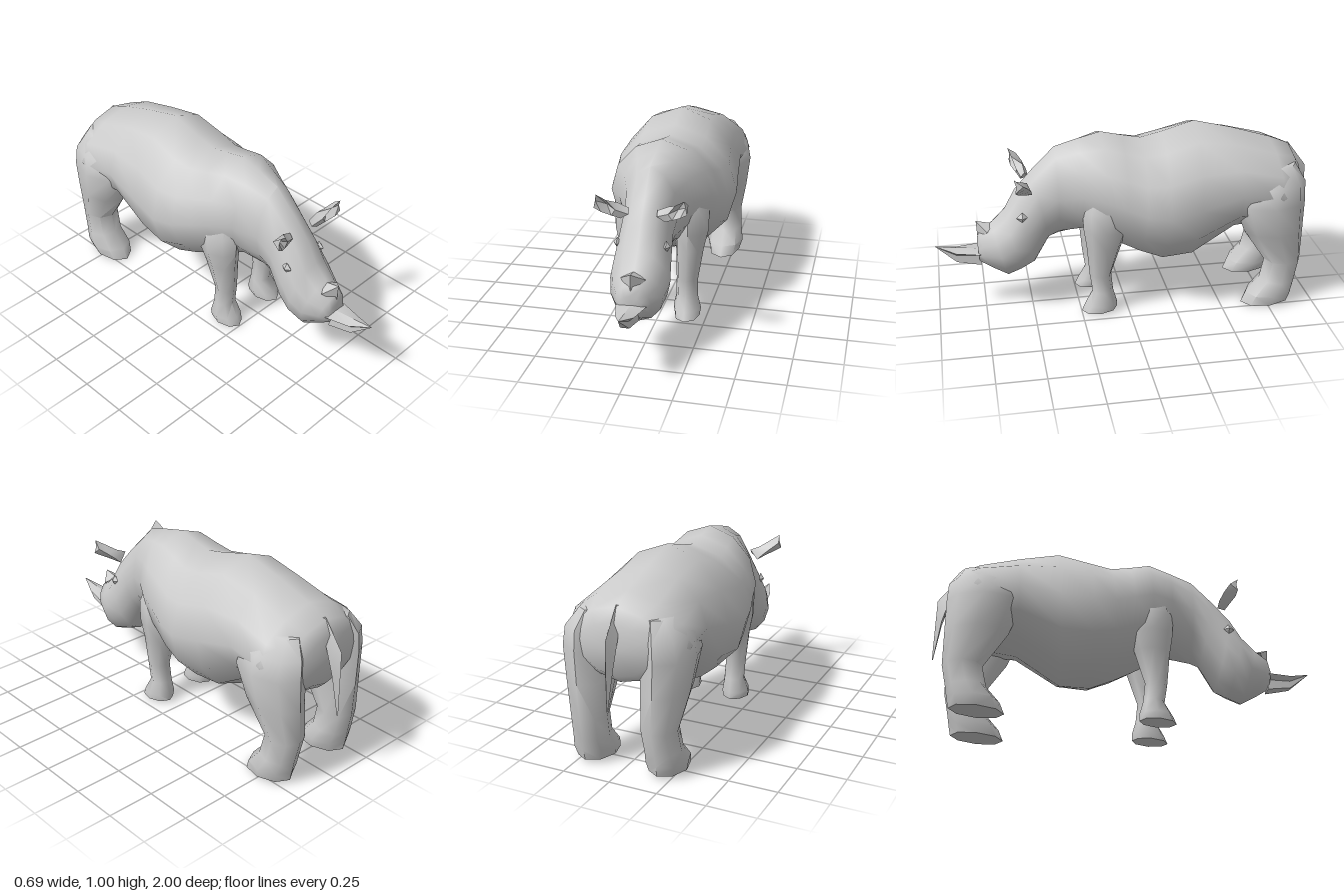
import * as THREE from 'three';
import { toCreasedNormals } from 'three/addons/utils/BufferGeometryUtils.js';

const material = new THREE.MeshStandardMaterial({ color: 0xcccccc, side: THREE.DoubleSide });

// Skin a list of equal-sized point rings, closing both ends with a fan.
function loft(name, rings, crease = 1.0) {
  const n = rings[0].length;
  const pts = rings.flat();
  const idx = [];
  for (let r = 0; r < rings.length - 1; r++) {
    for (let i = 0; i < n; i++) {
      const a = r * n + i, b = r * n + (i + 1) % n;
      idx.push(a, b, a + n, b, b + n, a + n);
    }
  }
  [0, rings.length - 1].forEach((r, end) => {
    const c = pts.length;
    pts.push([0, 1, 2].map(k => rings[r].reduce((s, p) => s + p[k], 0) / n));
    for (let i = 0; i < n; i++) {
      const a = r * n + i, b = r * n + (i + 1) % n;
      if (end) idx.push(a, b, c); else idx.push(b, a, c);
    }
  });
  // Make the faces point outwards whichever way the rings run.
  const v = pts.map(p => new THREE.Vector3(...p));
  let volume = 0;
  for (let i = 0; i < idx.length; i += 3) {
    volume += v[idx[i]].dot(v[idx[i + 1]].clone().cross(v[idx[i + 2]]));
  }
  if (volume < 0) idx.reverse();
  const geo = new THREE.BufferGeometry();
  geo.setAttribute('position', new THREE.Float32BufferAttribute(pts.flat(), 3));
  geo.setIndex(idx);
  const mesh = new THREE.Mesh(toCreasedNormals(geo, crease), material);
  mesh.name = name;
  return mesh;
}

// Upright oval, peaked above and squarer below: [topZ, topY, bottomZ, bottomY, halfWidth]
function bodyRing([tz, ty, bz, by, w]) {
  return Array.from({ length: 12 }, (_, i) => {
    const a = i / 12 * Math.PI * 2;
    const t = (1 - Math.cos(a)) / 2 + 0.04 * Math.abs(Math.sin(a)) * Math.cos(a);
    return [w * Math.sin(a), ty + (by - ty) * t, tz + (bz - tz) * t];
  });
}

// Eight-sided oval for a leg, pointed fore and aft: [backY, frontY, backZ, frontZ, innerX, outerX]
function legRing([y0, y1, z0, z1, x0, x1], side) {
  return Array.from({ length: 8 }, (_, i) => {
    const a = i / 8 * Math.PI * 2, f = (1 + Math.sin(a)) / 2;
    return [
      side * ((x0 + x1) / 2 + (x1 - x0) / 2 * Math.cos(a)),
      y0 + (y1 - y0) * f, z0 + (z1 - z0) * f];
  });
}

export function createModel() {
  const model = new THREE.Group();
  model.name = 'rhinoceros';

  // Trunk, neck and head in one skin, from rump to muzzle
  model.add(loft('body', [
    [-0.925, 0.77, -0.91, 0.50, 0.19],
    [-0.89, 0.835, -0.87, 0.46, 0.26],
    [-0.78, 0.88, -0.78, 0.43, 0.325],
    [-0.57, 0.945, -0.57, 0.40, 0.305],
    [-0.37, 0.995, -0.34, 0.245, 0.325],
    [-0.20, 0.945, -0.18, 0.24, 0.345],
    [-0.09, 0.92, -0.06, 0.29, 0.32],
    [0.01, 0.94, 0.04, 0.34, 0.29],
    [0.12, 0.965, 0.13, 0.39, 0.265],
    [0.24, 0.935, 0.23, 0.43, 0.195],
    [0.36, 0.90, 0.35, 0.41, 0.14],
    [0.48, 0.78, 0.40, 0.39, 0.13],
    [0.57, 0.68, 0.48, 0.25, 0.14],
    [0.63, 0.57, 0.55, 0.22, 0.15],
    [0.70, 0.50, 0.62, 0.19, 0.13],
    [0.77, 0.45, 0.70, 0.235, 0.09],
    [0.78, 0.40, 0.77, 0.28, 0.06],
  ].map(bodyRing)));

  for (const side of [1, -1]) {
    const label = side > 0 ? 'left' : 'right';

    // Hind leg with broad thigh, its top buried in the rump
    model.add(loft(label + 'HindLeg', [
      [0.79, 0.79, -0.88, -0.66, 0.10, 0.24],
      [0.70, 0.70, -0.93, -0.57, 0.08, 0.318],
      [0.60, 0.60, -0.935, -0.55, 0.07, 0.338],
      [0.43, 0.43, -0.935, -0.615, 0.08, 0.315],
      [0.25, 0.25, -0.935, -0.735, 0.095, 0.28],
      [0.13, 0.14, -0.91, -0.71, 0.10, 0.288],
      [0.07, 0.06, -0.90, -0.64, 0.09, 0.302],
      [0.02, 0.0, -0.89, -0.615, 0.105, 0.285],
    ].map(r => legRing(r, side))));

    // Front leg flaring up into the shoulder
    model.add(loft(label + 'FrontLeg', [
      [0.70, 0.70, 0.02, 0.20, 0.08, 0.21],
      [0.60, 0.60, -0.02, 0.24, 0.07, 0.252],
      [0.49, 0.49, 0.0, 0.235, 0.075, 0.25],
      [0.39, 0.39, 0.035, 0.22, 0.08, 0.228],
      [0.22, 0.22, 0.09, 0.205, 0.088, 0.203],
      [0.12, 0.12, 0.08, 0.19, 0.085, 0.20],
      [0.05, 0.05, 0.06, 0.23, 0.072, 0.22],
      [0.015, 0.005, 0.06, 0.25, 0.08, 0.215],
    ].map(r => legRing(r, side))));

    // Ear: short stalk opening into a forward-facing cupped blade
    const ear = [
      [[0.07, 0.735, 0.51], [0.07, 0.71, 0.53], [0.11, 0.685, 0.53], [0.12, 0.69, 0.49]],
      [[0.125, 0.76, 0.515], [0.13, 0.735, 0.55], [0.15, 0.705, 0.55], [0.15, 0.72, 0.495]],
      [[0.17, 0.79, 0.57], [0.175, 0.755, 0.53], [0.195, 0.73, 0.575], [0.19, 0.755, 0.515]],
      [[0.215, 0.82, 0.585], [0.22, 0.785, 0.575], [0.228, 0.75, 0.58], [0.226, 0.785, 0.54]],
    ];
    model.add(loft(label + 'Ear', ear.map(r => r.map(([x, y, z]) => [side * x, y, z])), 0.7));

    // Eye: small faceted bump
    const eye = new THREE.Mesh(new THREE.OctahedronGeometry(1), material);
    eye.name = label + 'Eye';
    eye.scale.set(0.02, 0.03, 0.03);
    eye.position.set(side * 0.122, 0.565, 0.545);
    model.add(eye);
  }

  // Long horn: a ridged wedge with hollow flanks, swept forward
  const hornRing = (z, top, wing, low, w) => [
    [0, top, z], [w, wing, z], [w * 0.45, wing - 0.02, z], [w * 0.5, low, z],
    [-w * 0.5, low, z], [-w * 0.45, wing - 0.02, z], [-w, wing, z],
  ];
  model.add(loft('frontHorn', [
    hornRing(0.765, 0.35, 0.345, 0.27, 0.075),
    hornRing(0.89, 0.365, 0.348, 0.29, 0.045),
    Array(7).fill([0, 0.38, 1.0]),
  ], 0.4));

  // Short horn: a low pyramid on the nose
  model.add(loft('rearHorn', [
    [[0, 0.49, 0.69], [0.062, 0.465, 0.725], [0, 0.41, 0.775], [-0.062, 0.465, 0.725]],
    Array(4).fill([0, 0.51, 0.78]),
  ], 0.3));

  // Tail: thin ridged blade hanging behind the rump, [y, ridgeZ, innerZ, halfWidth]
  model.add(loft('tail', [
    [0.84, -0.89, -0.86, 0.012],
    [0.70, -0.995, -0.93, 0.03],
    [0.57, -0.997, -0.965, 0.022],
    [0.36, -1.0, -0.995, 0.003],
  ].map(([y, z0, z1, w]) => [[0, y, z0], [w, y, z1], [-w, y, z1]])));

  return model;
}
